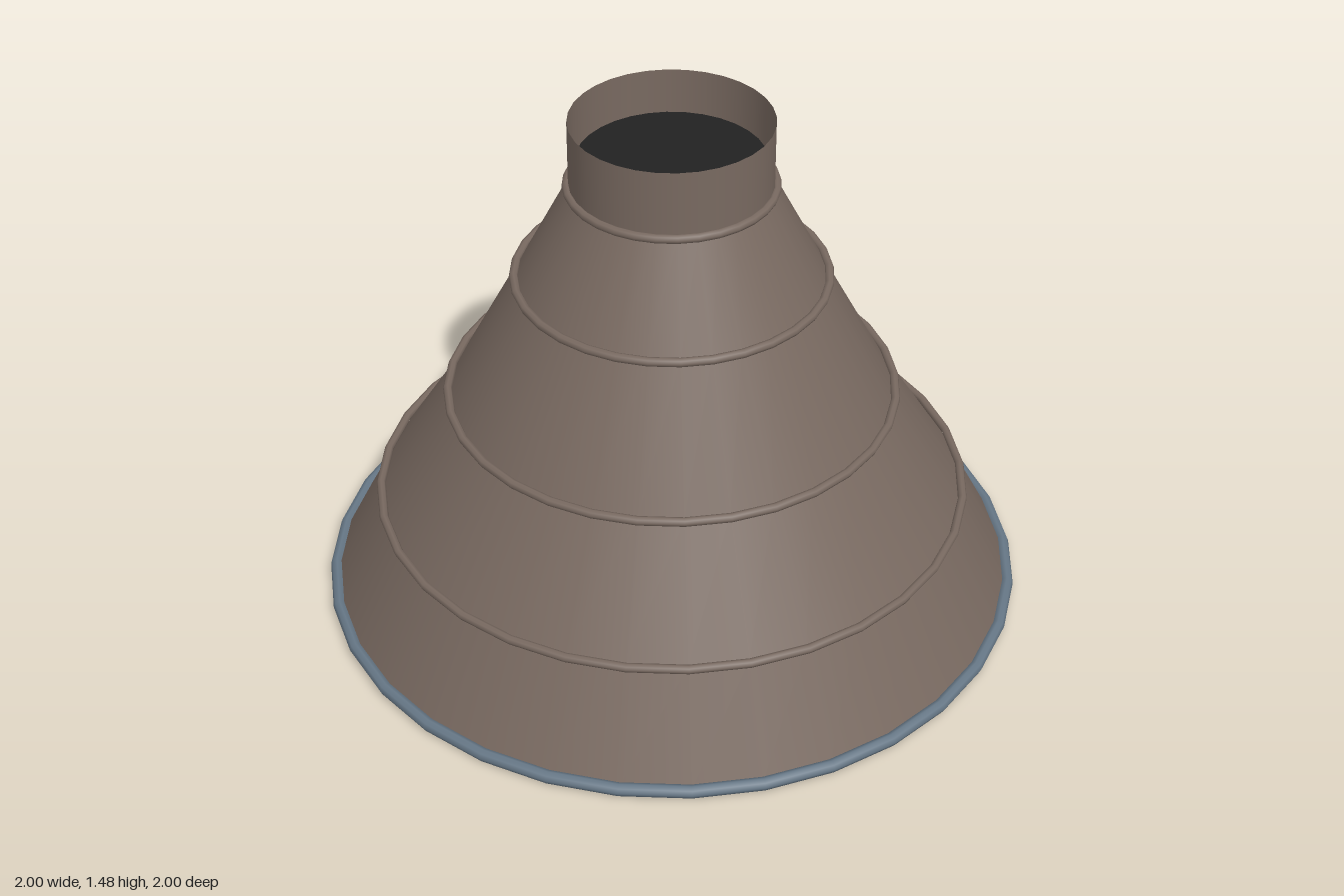
import * as THREE from 'three';

const SIDES = 32;

export function createModel() {
  const model = new THREE.Group();
  model.name = 'ribbedCone';

  const shell = new THREE.MeshStandardMaterial({ name: 'brown shell', color: 0x786960, side: THREE.DoubleSide });
  const steel = new THREE.MeshStandardMaterial({ name: 'blue grey rim', color: 0x667786 });
  const dark = new THREE.MeshStandardMaterial({ name: 'dark opening', color: 0x222222, side: THREE.DoubleSide });

  const add = (name, geometry, material, y) => {
    const mesh = new THREE.Mesh(geometry, material);
    mesh.name = name;
    mesh.position.y = y;
    model.add(mesh);
  };
  const ring = (radius, tube) => new THREE.TorusGeometry(radius, tube, 8, SIDES).rotateX(Math.PI / 2);

  // Open shell: four tapering sections and a straight neck, as [radius, height]
  const profile = [[0.975, 0.018], [0.82, 0.312], [0.615, 0.636], [0.42, 1.003], [0.275, 1.283], [0.275, 1.475]];
  for (let i = 0; i < profile.length - 1; i++) {
    const [r0, y0] = profile[i];
    const [r1, y1] = profile[i + 1];
    const section = new THREE.CylinderGeometry(r1, r0, y1 - y0, SIDES, 1, true);
    add(i === 4 ? 'neck' : `coneSection${i + 1}`, section, shell, (y0 + y1) / 2);
  }

  // Ribs over the seams, as [radius, height]
  [[0.834, 0.312], [0.627, 0.636], [0.43, 1.003], [0.28, 1.283]].forEach(([r, y], i) => {
    add(`rib${i + 1}`, ring(r, 0.0125), shell, y);
  });

  // Bottom rim
  add('baseRim', ring(0.982, 0.018), steel, 0.018);

  // Disc set inside the neck, with a small gap around it
  add('openingDisc', new THREE.CircleGeometry(0.257, SIDES).rotateX(-Math.PI / 2), dark, 1.355);

  return model;
}
